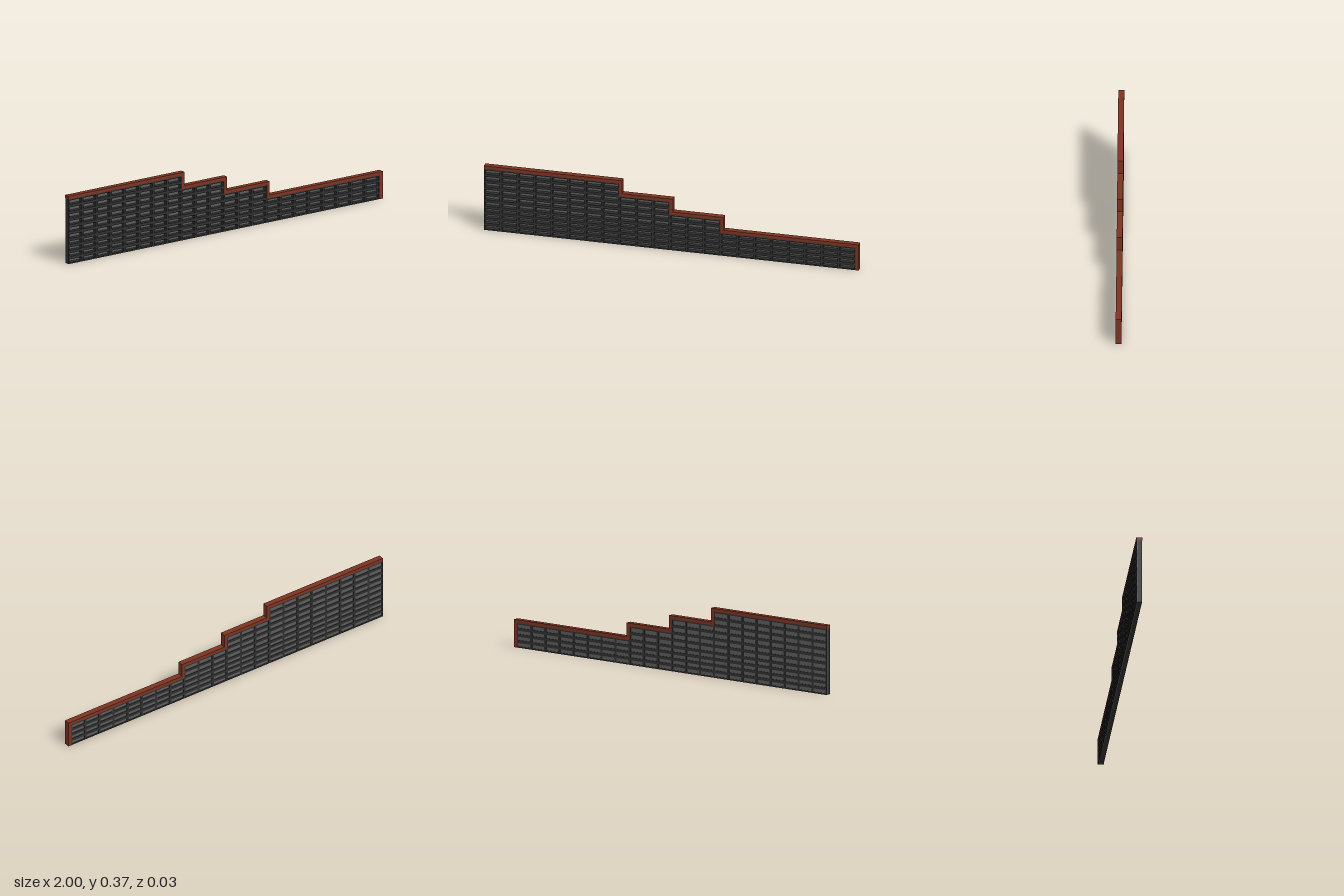
import * as THREE from 'three';

const DEPTH = 0.031, TRIM = 0.0175, COL = 0.0902;
const LOW = 0.13, STEP = 0.0735; // inner height of lowest bay, rise of each step
// Bays from the tall end to the low end: number of columns and of steps risen
const BAYS = [
  { cols: 8, rise: 3 },
  { cols: 3, rise: 2 },
  { cols: 3, rise: 1 },
  { cols: 8, rise: 0 },
];

// Stair-shaped top line, pushed outward by the given offset
function topLine(offset) {
  const pts = [];
  let x = -1, cols = 0;
  for (const { cols: n, rise } of BAYS) {
    const y = LOW + rise * STEP + offset;
    pts.push(new THREE.Vector2(x, y));
    cols += n;
    x = -1 + cols * COL + offset;
    pts.push(new THREE.Vector2(x, y));
  }
  pts.push(new THREE.Vector2(x, 0));
  return pts;
}

function slab(name, shape, z0, z1, color) {
  const geometry = new THREE.ExtrudeGeometry(shape, { depth: z1 - z0, bevelEnabled: false });
  geometry.translate(0, 0, z0);
  const mesh = new THREE.Mesh(geometry, new THREE.MeshStandardMaterial({ color }));
  mesh.name = name;
  return mesh;
}

function wallShape() {
  return new THREE.Shape([new THREE.Vector2(-1, 0), ...topLine(0)]);
}

// Rectangular opening for one cell of the lattice
function opening(x, y, w, h) {
  const mx = 0.006, my = 0.0075;
  return new THREE.Path([
    new THREE.Vector2(x + mx, y + my),
    new THREE.Vector2(x + w - mx, y + my),
    new THREE.Vector2(x + w - mx, y + h - my),
    new THREE.Vector2(x + mx, y + h - my),
  ]);
}

export function createModel() {
  const group = new THREE.Group();
  group.name = 'steppedWall';
  const half = DEPTH / 2;

  // Dark lattice: four rows in the base, two more for every step
  const lattice = wallShape();
  let col = 0;
  for (const { cols, rise } of BAYS) {
    for (let c = 0; c < cols; c++, col++) {
      const x = -1 + col * COL;
      for (let r = 0; r < 4 + rise * 2; r++) {
        const h = r < 4 ? LOW / 4 : STEP / 2;
        const y = r < 4 ? r * h : LOW + (r - 4) * h;
        lattice.holes.push(opening(x, y, COL, h));
      }
    }
  }
  group.add(slab('lattice', lattice, -half + 0.001, half - 0.001, 0x303030));

  // Lighter infill seen through the openings, set towards the back
  group.add(slab('infillPanel', wallShape(), -half + 0.004, -half + 0.008, 0x5c5c5c));

  // Coping that follows the steps and runs down the low end
  const coping = new THREE.Shape([...topLine(TRIM), ...topLine(0).reverse()]);
  group.add(slab('coping', coping, -half, half, 0x7c3322));

  // Centre the wall on x
  const box = new THREE.Box3().setFromObject(group);
  const shift = -(box.min.x + box.max.x) / 2;
  group.children.forEach((part) => { part.position.x = shift; });
  return group;
}
